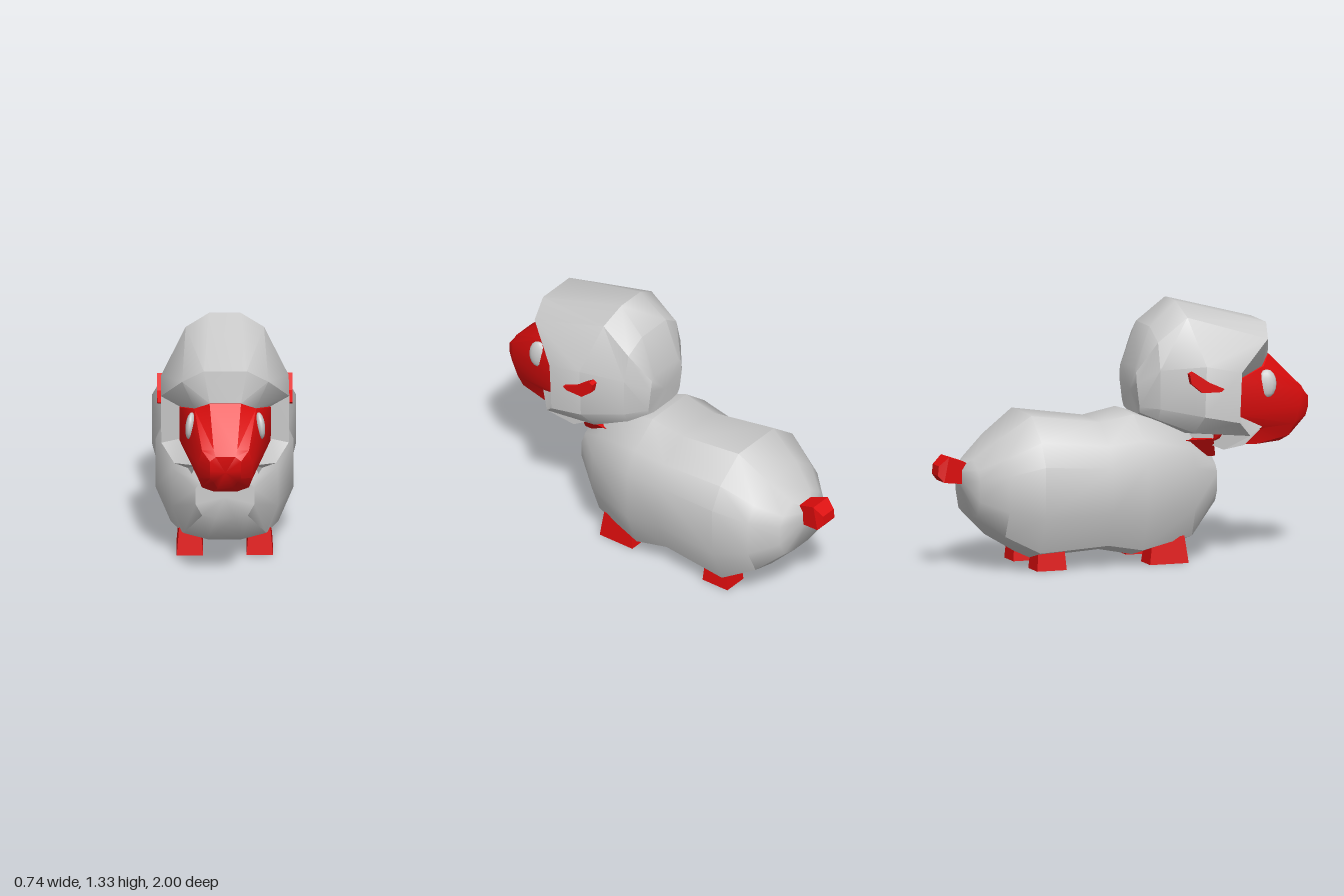
import * as THREE from 'three';
import { toCreasedNormals } from 'three/addons/utils/BufferGeometryUtils.js';

const wool = new THREE.MeshStandardMaterial({ color: 0xcccccc });
const red = new THREE.MeshStandardMaterial({ color: 0xe00d0d });

// Skin over cross-sections ordered back to front; each is the +x half, top to bottom
function loft(halves, crease, frontCap = true) {
  const rings = halves.map(h => [...h, ...h.slice().reverse().map(([x, y, z]) => [-x, y, z])]);
  const n = rings[0].length;
  const pos = rings.flat(2);
  const idx = [];
  for (let i = 0; i < rings.length - 1; i++) {
    for (let j = 0; j < n; j++) {
      const k = (j + 1) % n;
      const a = i * n + j, b = i * n + k, c = a + n, d = b + n;
      // Diagonals mirror across the middle
      if (j < n / 2) idx.push(a, c, b, b, c, d);
      else idx.push(a, c, d, a, d, b);
    }
  }
  const cap = (r, front) => {
    const m = [0, 1, 2].map(c => rings[r].reduce((s, p) => s + p[c], 0) / n);
    const centre = pos.length / 3;
    pos.push(...m);
    for (let j = 0; j < n; j++) {
      const a = r * n + j, b = r * n + (j + 1) % n;
      if (front) idx.push(centre, b, a);
      else idx.push(centre, a, b);
    }
  };
  cap(0, false);
  if (frontCap) cap(rings.length - 1, true);
  const g = new THREE.BufferGeometry();
  g.setAttribute('position', new THREE.Float32BufferAttribute(pos, 3));
  g.setIndex(idx);
  return toCreasedNormals(g, crease);
}

// Box whose top is scaled against its base, standing on y = 0
function taperedBox(w, h, d, topX, topZ) {
  const g = new THREE.BoxGeometry(w, h, d).translate(0, h / 2, 0);
  const p = g.attributes.position;
  for (let i = 0; i < p.count; i++) {
    if (p.getY(i) > h / 2) p.setXYZ(i, p.getX(i) * topX, h, p.getZ(i) * topZ);
  }
  g.computeVertexNormals();
  return g;
}

export function createModel() {
  const model = new THREE.Group();
  const add = (name, geometry, material, x = 0, y = 0, z = 0) => {
    const m = new THREE.Mesh(geometry, material);
    m.name = name;
    m.position.set(x, y, z);
    model.add(m);
    return m;
  };

  // Woolly body: z, half width, top, bottom
  const body = [
    [-0.87, 0.06, 0.53, 0.43], [-0.82, 0.18, 0.57, 0.27], [-0.7, 0.29, 0.67, 0.155],
    [-0.53, 0.368, 0.79, 0.055], [-0.15, 0.33, 0.735, 0.075], [0.03, 0.352, 0.768, 0.04],
    [0.32, 0.27, 0.68, 0.1], [0.48, 0.15, 0.52, 0.28],
  ].map(([z, w, top, bottom]) => {
    const h = top - bottom;
    return [[0.4 * w, top, z], [0.82 * w, top - 0.16 * h, z], [w, top - 0.32 * h, z],
      [w, bottom + 0.32 * h, z], [0.78 * w, bottom + 0.06 * h, z], [0.32 * w, bottom, z]];
  });
  add('body', loft(body, 0.75), wool);

  // Woolly hood with a bevelled face opening
  const hood = [
    [[0.1, 1.0, 0.05], [0.12, 0.98, 0.05], [0.13, 0.92, 0.05], [0.13, 0.8, 0.065], [0.12, 0.77, 0.07], [0.08, 0.76, 0.07]],
    [[0.1, 1.21, 0.13], [0.2, 1.14, 0.14], [0.235, 1.0, 0.14], [0.235, 0.8, 0.14], [0.2, 0.74, 0.14], [0.1, 0.73, 0.14]],
    [[0.08, 1.33, 0.28], [0.2, 1.26, 0.3], [0.325, 1.02, 0.36], [0.325, 0.76, 0.35], [0.25, 0.67, 0.32], [0.1, 0.65, 0.3]],
    [[0.11, 1.2, 0.76], [0.22, 1.13, 0.73], [0.328, 0.98, 0.55], [0.325, 0.72, 0.54], [0.26, 0.64, 0.62], [0.19, 0.565, 0.5]],
    [[0.08, 1.03, 0.78], [0.155, 0.98, 0.72], [0.23, 0.93, 0.57], [0.23, 0.75, 0.56], [0.15, 0.67, 0.73], [0.17, 0.58, 0.62]],
  ];
  add('hood', loft(hood, 0.6, false), wool);

  // Face and muzzle
  const face = [
    [[0.08, 1.0, 0.45], [0.15, 0.96, 0.45], [0.22, 0.92, 0.45], [0.22, 0.74, 0.45], [0.19, 0.62, 0.45], [0.12, 0.58, 0.45]],
    [[0.08, 1.03, 0.785], [0.157, 0.98, 0.73], [0.233, 0.93, 0.577], [0.233, 0.745, 0.567], [0.15, 0.66, 0.74], [0.13, 0.575, 0.7]],
    [[0.06, 0.85, 0.97], [0.12, 0.84, 0.95], [0.14, 0.76, 0.93], [0.14, 0.67, 0.9], [0.12, 0.61, 0.88], [0.06, 0.575, 0.85]],
    [[0.05, 0.82, 0.99], [0.08, 0.8, 1.0], [0.08, 0.75, 1.0], [0.08, 0.7, 0.985], [0.06, 0.67, 0.96], [0.04, 0.63, 0.94]],
  ];
  add('face', loft(face, 0.65), red);
  add('neck', taperedBox(0.24, 0.1, 0.36, 1.6, 0.8), red, 0, 0.525, 0.3);

  // Upturned tail, tip first
  const tail = [
    [[0.045, 0.54, -0.995], [0.045, 0.49, -1.0]],
    [[0.06, 0.585, -0.945], [0.06, 0.455, -0.97]],
    [[0.045, 0.545, -0.83], [0.045, 0.44, -0.85]],
  ];
  add('tail', loft(tail, 0.3), red);

  // Leaf-shaped ear outline, drawn with z across
  const earShape = new THREE.Shape([
    [-0.45, 0.905], [-0.43, 0.89], [-0.33, 0.89], [-0.27, 0.94], [-0.26, 0.99], [-0.28, 1.0], [-0.37, 0.94],
  ].map(p => new THREE.Vector2(...p)));
  const earGeometry = new THREE.ExtrudeGeometry(earShape, { depth: 0.035, bevelEnabled: false })
    .rotateY(Math.PI / 2).translate(-0.0175, 0, 0);

  for (const [side, s] of [['left', 1], ['right', -1]]) {
    add(side + 'Ear', earGeometry, red, s * 0.328);

    const eye = add(side + 'Eye', new THREE.SphereGeometry(1, 12, 8), wool, s * 0.178, 0.893, 0.74);
    eye.scale.set(0.025, 0.072, 0.05);
    eye.rotation.set(0, s * 0.15, s * 0.1);

    add(side + 'FrontLeg', taperedBox(0.135, 0.14, 0.21, 0.82, 0.82), red, s * 0.178, 0, 0.185);
    add(side + 'BackLeg', taperedBox(0.135, 0.14, 0.16, 0.82, 0.85), red, s * 0.178, 0, -0.453);
  }
  return model;
}
